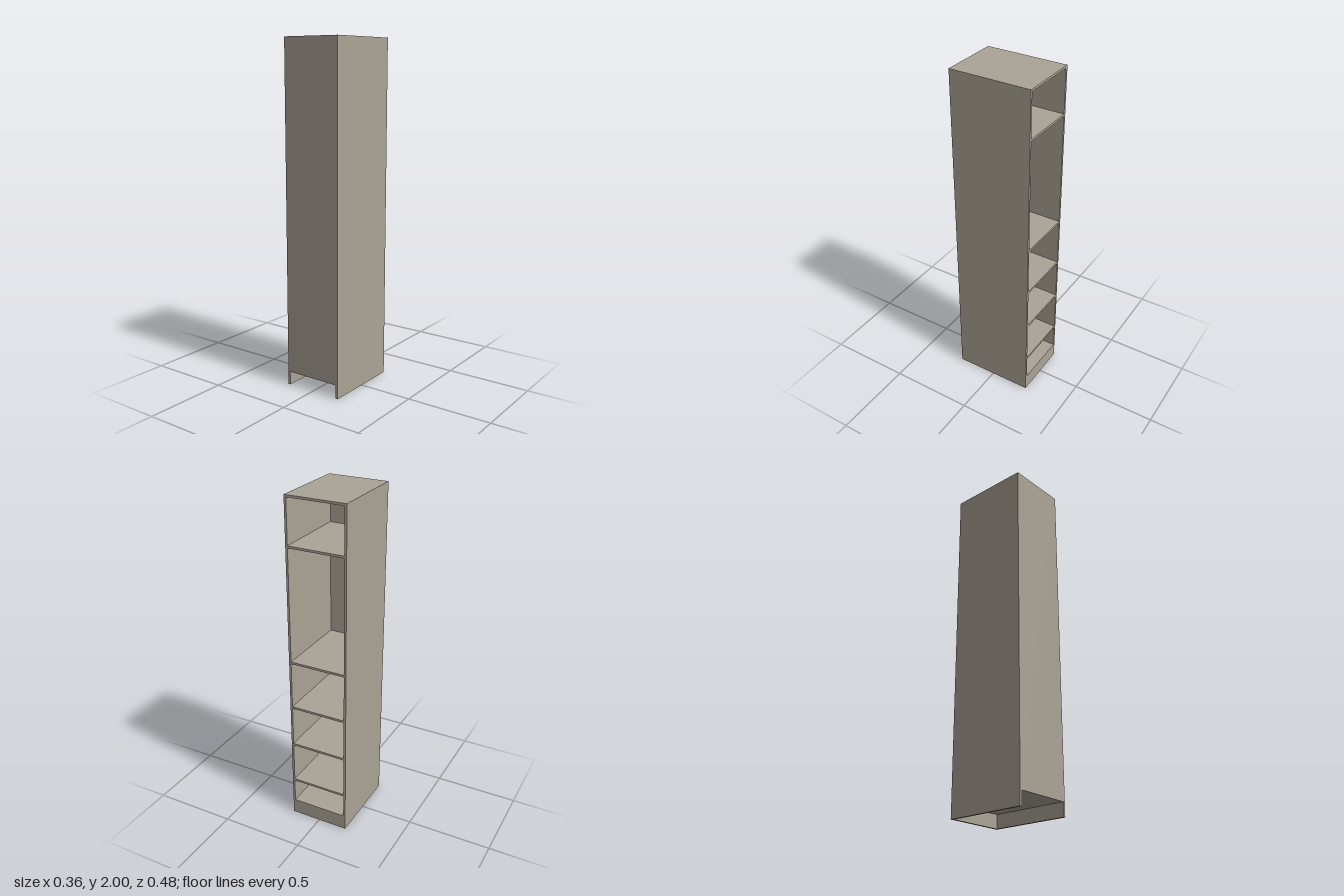
import * as THREE from 'three';

const W = 0.358, H = 2, D = 0.48, T = 0.013; // outer size and board thickness
const INNER = W - 2 * T;
const KICK = 0.08;                           // height of the plinth space

export function createModel() {
  const group = new THREE.Group();
  group.name = 'tallCabinet';
  const board = new THREE.MeshStandardMaterial({ color: 0xaba396 });
  board.name = 'warm grey board';

  function addBoard(name, w, h, d, x, y, z) {
    const mesh = new THREE.Mesh(new THREE.BoxGeometry(w, h, d), board);
    mesh.name = name;
    mesh.position.set(x, y, z);
    group.add(mesh);
  }

  // full-height sides reaching the floor
  for (const [name, s] of [['leftSide', 1], ['rightSide', -1]]) {
    addBoard(name, T, H, D, s * (W - T) / 2, H / 2, 0);
  }

  // closed front panel, stopping above the plinth space
  addBoard('frontPanel', INNER, H - KICK, T, 0, (H + KICK) / 2, (D - T) / 2);

  // plinth board under the open back
  addBoard('plinth', INNER, KICK, T, 0, KICK / 2, -(D - T) / 2);

  // top, bottom and shelves, given by the height of their upper face
  const levels = [
    ['top', H], ['bottom', KICK + T],
    ['shelf1', 0.252], ['shelf2', 0.509], ['shelf3', 0.763],
    ['shelf4', 1.054], ['shelf5', 1.732],
  ];
  for (const [name, y] of levels) {
    addBoard(name, INNER, T, D - T, 0, y - T / 2, -T / 2);
  }

  return group;
}
